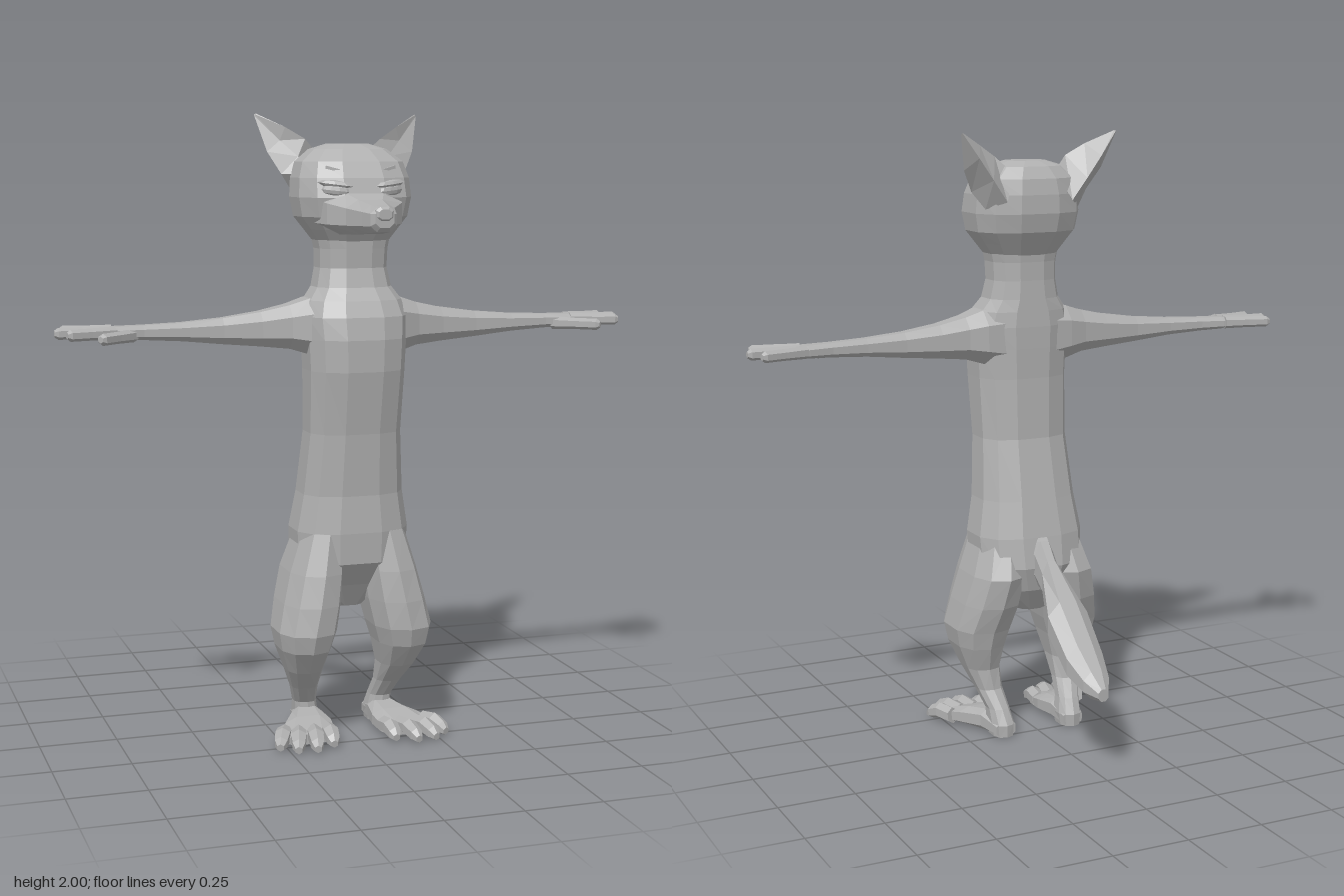
import * as THREE from 'three';

const V = (x, y, z) => new THREE.Vector3(x, y, z);

// Rounded-box cross-section: centre c, half-axis vectors u and v
function section(c, u, v, sides, power) {
  const f = (t) => Math.sign(t) * Math.pow(Math.abs(t), 2 / power);
  const k = f(Math.cos(Math.PI / sides));
  return Array.from({ length: sides }, (_, i) => {
    const a = ((i + 0.5) / sides) * Math.PI * 2;
    return c.clone().addScaledVector(u, f(Math.cos(a)) / k).addScaledVector(v, f(Math.sin(a)) / k);
  });
}

// Sections from extents across each axis
const ringY = (n, p) => ([y, x0, x1, z0, z1]) =>
  section(V((x0 + x1) / 2, y, (z0 + z1) / 2), V((x1 - x0) / 2, 0, 0), V(0, 0, (z1 - z0) / 2), n, p);
const ringX = (n, p) => ([x, y0, y1, z0, z1]) =>
  section(V(x, (y0 + y1) / 2, (z0 + z1) / 2), V(0, (y1 - y0) / 2, 0), V(0, 0, (z1 - z0) / 2), n, p);
const ringZ = (n, p) => ([z, x0, x1, y0, y1]) =>
  section(V((x0 + x1) / 2, (y0 + y1) / 2, z), V((x1 - x0) / 2, 0, 0), V(0, (y1 - y0) / 2, 0), n, p);

// Skin a list of rings, cap both ends and face the result outward
function loft(rings) {
  const n = rings[0].length, tris = [];
  const centre = (r) => r.reduce((s, p) => s.add(p), V(0, 0, 0)).divideScalar(n);
  const c0 = centre(rings[0]), c1 = centre(rings[rings.length - 1]);
  for (let i = 0; i < n; i++) {
    const j = (i + 1) % n;
    for (let k = 0; k < rings.length - 1; k++) {
      const a = rings[k], b = rings[k + 1];
      tris.push([a[i], a[j], b[j]], [a[i], b[j], b[i]]);
    }
    const last = rings[rings.length - 1];
    tris.push([c0, rings[0][j], rings[0][i]], [c1, last[i], last[j]]);
  }
  let volume = 0;
  for (const [a, b, c] of tris) volume += a.clone().sub(c0).dot(b.clone().sub(c0).cross(c.clone().sub(c0)));
  const pts = tris.flatMap(([a, b, c]) => (volume < 0 ? [a, c, b] : [a, b, c]));
  const g = new THREE.BufferGeometry().setFromPoints(pts);
  g.computeVertexNormals();
  return g;
}

// Finger or toe: path points with a radius each
function digit(points, radii) {
  const dir = points[points.length - 1].clone().sub(points[0]).normalize();
  const u = V(0, 1, 0).cross(dir).normalize(), v = dir.clone().cross(u);
  return points.map((p, i) =>
    section(p, u.clone().multiplyScalar(radii[i]), v.clone().multiplyScalar(radii[i]), 6, 2));
}

export function createModel() {
  const model = new THREE.Group();
  const fur = new THREE.MeshStandardMaterial({ color: 0xb0b0b0, flatShading: true });
  fur.name = 'grey fur';

  const add = (name, geometry) => {
    const m = new THREE.Mesh(geometry, fur);
    m.name = name;
    model.add(m);
    return m;
  };
  const addPair = (name, rings) => {
    add('left' + name, loft(rings));
    add('right' + name, loft(rings.map((r) => r.map((p) => V(-p.x, p.y, p.z)))));
  };

  // Torso and neck: y, half width, back z, front z
  const sym = ([a, h, b, c]) => [a, -h, h, b, c];
  add('torso', loft([
    [0.42, 0.05, 0.02, 0.14], [0.5, 0.13, -0.03, 0.19], [0.58, 0.18, -0.05, 0.245],
    [0.68, 0.185, -0.035, 0.25], [0.8, 0.165, -0.01, 0.245], [1.0, 0.15, 0.03, 0.262],
    [1.2, 0.155, 0.035, 0.295], [1.3, 0.16, 0.033, 0.297], [1.37, 0.165, 0.033, 0.285],
    [1.42, 0.15, 0.035, 0.262], [1.46, 0.122, 0.037, 0.237], [1.52, 0.11, 0.04, 0.222],
    [1.58, 0.112, 0.04, 0.226], [1.64, 0.125, 0.035, 0.23],
  ].map(sym).map(ringY(12, 2.7))));

  // Head
  add('head', loft([
    [1.6, 0.113, 0.04, 0.225], [1.64, 0.143, 0.015, 0.25], [1.68, 0.173, -0.01, 0.272],
    [1.74, 0.184, -0.024, 0.285], [1.8, 0.18, -0.022, 0.267], [1.85, 0.165, -0.012, 0.238],
    [1.888, 0.12, 0.012, 0.19], [1.905, 0.065, 0.045, 0.15],
  ].map(sym).map(ringY(12, 2.6))));

  // Muzzle: z, half width, bottom y, top y
  add('muzzle', loft([
    [0.18, 0.15, 1.625, 1.78], [0.275, 0.122, 1.628, 1.755], [0.33, 0.078, 1.632, 1.735],
    [0.41, 0.054, 1.638, 1.722], [0.455, 0.042, 1.642, 1.715], [0.468, 0.03, 1.655, 1.71],
  ].map(sym).map(ringZ(8, 2.6))));
  add('nose', loft([
    [0.43, 0.027, 1.685, 1.722], [0.466, 0.028, 1.675, 1.718], [0.473, 0.02, 1.68, 1.71],
  ].map(sym).map(ringZ(8, 2.6))));

  // Eyes, lids and brows
  for (const s of [1, -1]) {
    const side = s > 0 ? 'left' : 'right';
    const eye = add(side + 'Eye', new THREE.SphereGeometry(1, 10, 6));
    eye.scale.set(0.046, 0.02, 0.016);
    eye.position.set(s * 0.09, 1.762, 0.262);
    eye.rotation.set(0, s * 0.35, s * 0.1);
    const lid = add(side + 'Eyelid', new THREE.SphereGeometry(1, 8, 4));
    lid.scale.set(0.056, 0.013, 0.02);
    lid.position.set(s * 0.09, 1.781, 0.258);
    lid.rotation.set(0, s * 0.35, s * 0.12);
    const brow = add(side + 'Brow', new THREE.BoxGeometry(0.06, 0.009, 0.009));
    brow.position.set(s * 0.085, 1.826, 0.24);
    brow.rotation.set(0, s * 0.3, s * 0.25);
  }

  // Ears: inner edge, hollow, outer edge, back at each level
  addPair('Ear', [
    [V(0.075, 1.87, 0.03), V(0.13, 1.81, 0.1), V(0.165, 1.755, 0.04), V(0.115, 1.78, -0.02)],
    [V(0.125, 1.92, 0.055), V(0.15, 1.865, 0.06), V(0.205, 1.81, 0.06), V(0.165, 1.85, -0.026)],
    [V(0.185, 1.957, 0.035), V(0.2, 1.915, 0.025), V(0.243, 1.88, 0.03), V(0.215, 1.92, -0.028)],
    [V(0.266, 1.999, -0.015), V(0.268, 1.996, -0.014), V(0.272, 1.993, -0.016), V(0.27, 1.998, -0.022)],
  ]);

  // Arms and palms: x, bottom y, top y, back z, front z
  addPair('Arm', [
    [0.08, 1.23, 1.44, 0.045, 0.25], [0.15, 1.25, 1.425, 0.05, 0.225], [0.21, 1.268, 1.405, 0.065, 0.2],
    [0.3, 1.277, 1.385, 0.075, 0.18], [0.42, 1.287, 1.368, 0.087, 0.163], [0.55, 1.3, 1.357, 0.09, 0.157],
    [0.67, 1.307, 1.352, 0.083, 0.152], [0.75, 1.31, 1.35, 0.07, 0.158], [0.785, 1.315, 1.348, 0.068, 0.16],
  ].map(ringX(8, 2.4)));

  // Fingers: base x, base z, tip x, tip z
  [[0.76, 0.082, 0.915, 0.042], [0.77, 0.113, 0.94, 0.112],
    [0.76, 0.142, 0.913, 0.186], [0.7, 0.135, 0.822, 0.243]].forEach(([x0, z0, x1, z1], i) => {
    const y = i === 3 ? 1.322 : 1.332, at = (t) => V(x0 + (x1 - x0) * t, y, z0 + (z1 - z0) * t);
    addPair(i === 3 ? 'Thumb' : 'Finger' + (i + 1), digit([0, 0.5, 0.93, 1].map(at), [0.018, 0.016, 0.016, 0.009]));
  });

  // Legs: y, inner x, outer x, back z, front z
  addPair('Leg', [
    [0.68, 0.03, 0.17, 0, 0.235], [0.55, 0.035, 0.212, -0.05, 0.262], [0.45, 0.047, 0.237, -0.03, 0.275],
    [0.36, 0.065, 0.256, 0.005, 0.28], [0.3, 0.083, 0.245, 0.022, 0.262], [0.22, 0.1, 0.215, 0.047, 0.2],
    [0.15, 0.102, 0.187, 0.04, 0.13], [0.09, 0.095, 0.167, 0.002, 0.085], [0.04, 0.085, 0.165, -0.024, 0.085],
    [0, 0.09, 0.16, -0.024, 0.08],
  ].map(ringY(10, 2.5)));

  // Feet: z, inner x, outer x, bottom y, top y
  addPair('Foot', [
    [-0.015, 0.09, 0.16, 0, 0.05], [0.07, 0.083, 0.18, 0, 0.075],
    [0.15, 0.072, 0.225, 0, 0.064], [0.22, 0.078, 0.262, 0, 0.046], [0.25, 0.09, 0.255, 0.003, 0.035],
  ].map(ringZ(8, 2.6)));

  // Toes: base x, base z, tip x, tip z
  [[0.098, 0.19, 0.105, 0.3], [0.145, 0.2, 0.17, 0.335],
    [0.195, 0.2, 0.232, 0.328], [0.235, 0.18, 0.28, 0.285]].forEach(([x0, z0, x1, z1], i) => {
    const at = (t, y) => V(x0 + (x1 - x0) * t, y, z0 + (z1 - z0) * t);
    addPair('Toe' + (i + 1), digit([at(0, 0.028), at(0.5, 0.034), at(0.85, 0.021), at(1, 0.012)],
      [0.024, 0.024, 0.02, 0.011]));
  });

  // Tail: z, half width, bottom y, top y
  add('tail', loft([
    [0.0, 0.05, 0.53, 0.7], [-0.05, 0.034, 0.51, 0.67], [-0.1, 0.032, 0.475, 0.615],
    [-0.22, 0.07, 0.365, 0.51], [-0.34, 0.064, 0.268, 0.4], [-0.42, 0.045, 0.246, 0.335],
    [-0.47, 0.018, 0.25, 0.29],
  ].map(sym).map(ringZ(8, 2))));

  return model;
}
